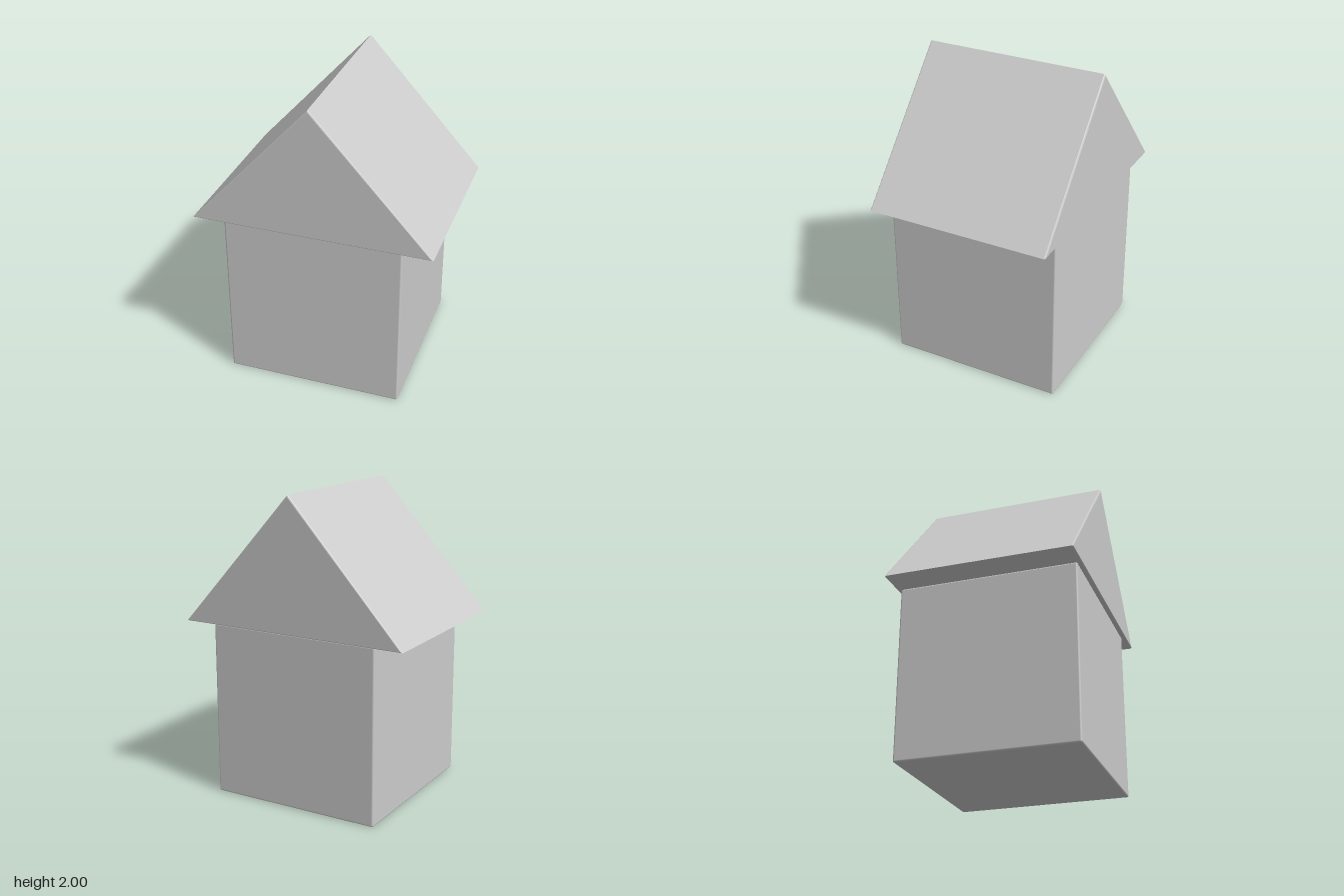
import * as THREE from 'three';
import { RoundedBoxGeometry } from 'three/addons/geometries/RoundedBoxGeometry.js';

export function createModel() {
  const house = new THREE.Group();
  house.name = 'house';
  const material = new THREE.MeshStandardMaterial({ color: 0xcccccc });
  const wallSize = 1.155, wallTop = 1.143;
  const roofHalf = 0.775, roofDepth = 1.21, bevel = 0.01;

  // Cube-like walls with finely eased edges
  const walls = new THREE.Mesh(
    new RoundedBoxGeometry(wallSize, wallTop, wallSize, 2, 0.012), material);
  walls.name = 'walls';
  walls.position.y = wallTop / 2;
  house.add(walls);

  // Gable roof: a triangle extruded front to back, gable edges slightly bevelled
  const gable = new THREE.Shape([
    new THREE.Vector2(-roofHalf, wallTop),
    new THREE.Vector2(roofHalf, wallTop),
    new THREE.Vector2(0, 2),
  ]);
  const roofGeometry = new THREE.ExtrudeGeometry(gable, {
    depth: roofDepth - 2 * bevel,
    bevelThickness: bevel,
    bevelSize: bevel,
    bevelOffset: -bevel,
    bevelSegments: 2,
  });
  roofGeometry.translate(0, 0, bevel - roofDepth / 2);
  const roof = new THREE.Mesh(roofGeometry, material);
  roof.name = 'roof';
  house.add(roof);

  return house;
}
